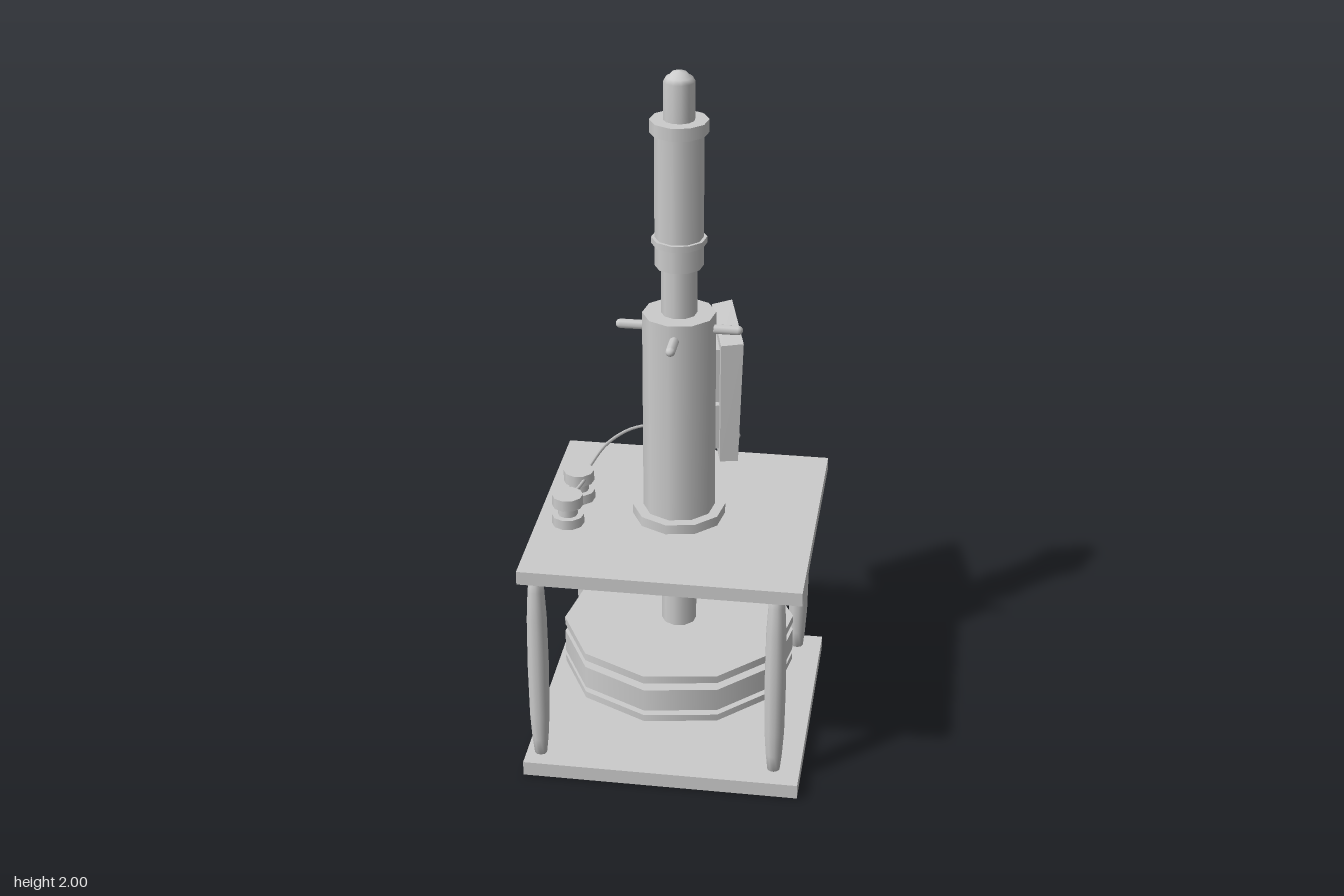
import * as THREE from 'three';

const grey = new THREE.MeshStandardMaterial({ color: 0xcccccc });

export function createModel() {
  const model = new THREE.Group();

  function add(name, geometry, x = 0, y = 0, z = 0, parent = model) {
    const mesh = new THREE.Mesh(geometry, grey);
    mesh.name = name;
    mesh.position.set(x, y, z);
    parent.add(mesh);
    return mesh;
  }
  // Upright cylinder between two heights, corners on the x axis
  function post(name, r, y0, y1, sides = 10, x = 0, z = 0, rTop = r) {
    const g = new THREE.CylinderGeometry(rTop, r, y1 - y0, sides).rotateY(Math.PI / 2);
    return add(name, g, x, (y0 + y1) / 2, z);
  }
  const lathe = (pts, sides) =>
    new THREE.LatheGeometry(pts.map(([r, y]) => new THREE.Vector2(r, y)), sides);
  const wire = (name, pts) => add(name, new THREE.TubeGeometry(
    new THREE.CatmullRomCurve3(pts.map(p => new THREE.Vector3(...p))), 24, 0.005, 6));

  // Square plates, turned 45 degrees
  const side = 0.557 * Math.SQRT2;
  for (const [name, y0, y1] of [['basePlate', 0.004, 0.047], ['topPlate', 0.64, 0.68]]) {
    add(name, new THREE.BoxGeometry(side, y1 - y0, side).rotateY(Math.PI / 4), 0, (y0 + y1) / 2, 0);
  }

  // Corner pillars with tapered ends
  const pillar = lathe([[0, 0.045], [0.018, 0.045], [0.024, 0.1], [0.029, 0.18], [0.031, 0.345],
    [0.029, 0.5], [0.024, 0.59], [0.018, 0.642], [0, 0.642]], 10);
  for (const [x, z] of [[-0.485, -0.015], [0.468, -0.015], [0, 0.45], [0, -0.483]]) {
    add('pillar', pillar, x, 0, z);
  }

  // Flywheel discs
  post('lowerDisc', 0.335, 0.18, 0.2);
  post('flywheel', 0.335, 0.216, 0.284);
  post('upperDisc', 0.335, 0.307, 0.33);

  // Central shaft and stacked column
  post('shaft', 0.05, 0, 1.5);
  post('columnFlange', 0.132, 0.68, 0.709);
  post('column', 0.102, 0.7, 1.31);
  post('sleeve', 0.067, 1.45, 1.84);
  post('sleeveRing', 0.076, 1.515, 1.533);
  post('sleeveCollar', 0.08, 1.83, 1.866);
  add('tipKnob', lathe([[0.043, 1.86], [0.043, 1.97], [0.036, 1.982], [0.028, 1.985],
    [0.02, 1.995], [0, 2]], 12));

  // Four rounded pins round the column
  const pin = new THREE.CapsuleGeometry(0.014, 0.07, 4, 8).rotateZ(Math.PI / 2).translate(0.128, 0, 0);
  for (let i = 0; i < 4; i++) {
    add('columnPin', pin, 0, 1.265, 0).rotation.y = Math.PI / 4 + i * Math.PI / 2;
  }

  // Two terminals
  for (const [x, z] of [[-0.288, -0.142], [-0.18, -0.243]]) {
    post('terminalBase', 0.046, 0.68, 0.709, 10, x, z);
    post('terminalStem', 0.028, 0.7, 0.745, 10, x, z);
    post('terminalHead', 0.044, 0.738, 0.771, 10, x, z);
  }

  // Sensor below the top plate
  add('sensor', new THREE.BoxGeometry(0.16, 0.028, 0.045), -0.2, 0.624, -0.16).rotation.x = 0.25;
  for (const x of [-0.24, -0.16]) add('sensorFoot', new THREE.BoxGeometry(0.03, 0.02, 0.025), x, 0.61, -0.162);

  // Wires
  wire('terminalWire', [[-0.27, 0.757, -0.155], [-0.23, 0.757, -0.175], [-0.18, 0.757, -0.21]]);
  wire('displayWire', [[-0.16, 0.757, -0.24], [-0.02, 0.765, -0.335], [0.08, 0.768, -0.367],
    [0.13, 0.768, -0.365], [0.18, 0.768, -0.345], [0.24, 0.775, -0.275], [0.272, 0.81, -0.235]]);

  // Display case: a slightly twisted slab, blended from its eight corners
  // Order: inner/outer, bottom/top, near/far
  const corners = [
    [0.185, 0.765, -0.05], [0.346, 0.782, -0.319], [0.185, 1.135, -0.05], [0.336, 1.14, -0.29],
    [0.232, 0.763, -0.025], [0.375, 0.785, -0.31], [0.242, 1.138, -0.018], [0.397, 1.145, -0.272],
  ].map(c => new THREE.Vector3(...c));
  const slab = new THREE.BoxGeometry(1, 1, 1).toNonIndexed();
  const p = slab.attributes.position;
  for (let i = 0; i < p.count; i++) {
    const outer = p.getX(i) > 0, top = p.getY(i) > 0, far = p.getZ(i) < 0;
    const c = corners[(outer ? 4 : 0) + (top ? 2 : 0) + (far ? 1 : 0)];
    p.setXYZ(i, c.x, c.y, c.z);
  }
  slab.computeVertexNormals();
  add('displayCase', slab);
  add('caseFoot', new THREE.SphereGeometry(0.028, 10, 6).scale(1.1, 0.7, 1), 0.306, 0.768, -0.155);

  // Panel fittings, built facing +z and turned to the inner face
  const panel = new THREE.Group();
  panel.name = 'displayPanel';
  panel.position.set(0.261, 0.955, -0.178);
  panel.rotation.y = Math.atan2(-0.853, -0.52);
  model.add(panel);

  const rect = (S, w, h) => new S([[-w, -h], [w, -h], [w, h], [-w, h]]
    .map(([x, y]) => new THREE.Vector2(x / 2, y / 2)));
  function frame(w, h, t, depth) {
    const s = rect(THREE.Shape, w, h);
    s.holes.push(rect(THREE.Path, w - 2 * t, h - 2 * t));
    return new THREE.ExtrudeGeometry(s, { depth, bevelEnabled: false });
  }
  add('screenFrame', frame(0.25, 0.165, 0.014, 0.03), 0, 0.075, -0.012, panel);
  for (let i = 0; i < 4; i++) {
    add('screenBlock', new THREE.BoxGeometry(0.036, 0.085, 0.03), -0.075 + i * 0.05, 0.075, 0.003, panel);
  }
  add('controlPlate', new THREE.BoxGeometry(0.25, 0.14, 0.025), 0, -0.09, 0, panel);
  for (const x of [-0.085, 0.075]) {
    add('controlKnob', new THREE.CylinderGeometry(0.022, 0.026, 0.025, 10).rotateX(Math.PI / 2), x, -0.12, 0.02, panel);
  }
  return model;
}
